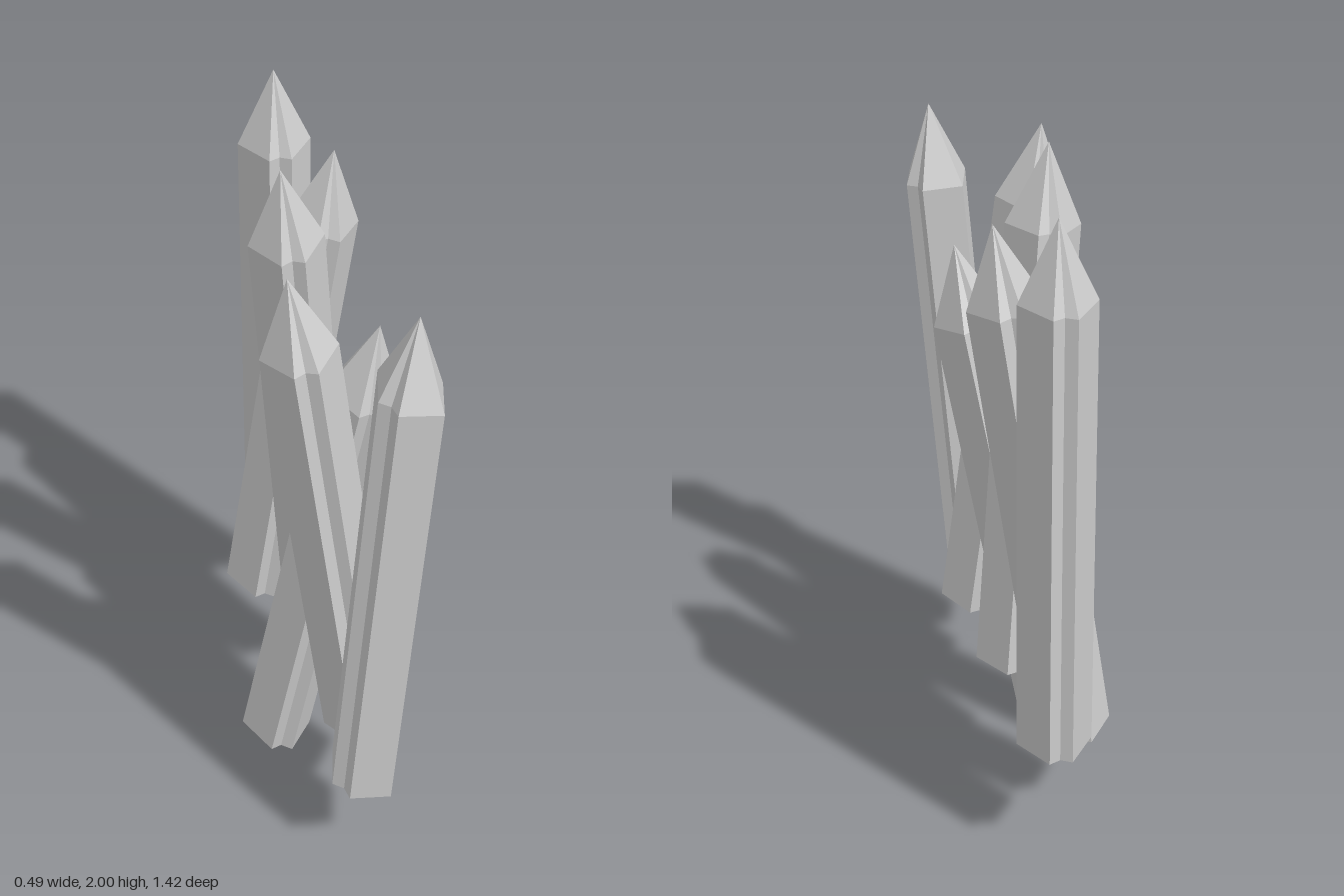
import * as THREE from 'three';

const LENGTH = 1.617, SHAFT = 1.38;
const STRETCH = [0.924, 1.143]; // x and z stretch of the cross-section

// Hexagonal outline with a groove in two opposite sides, turned by yaw
function outline(yaw) {
  const half = [[0.119, 0], [0.036, 0.103], [0, 0.088], [-0.036, 0.103]];
  const c = Math.cos(yaw), s = Math.sin(yaw);
  return [...half, ...half.map(([x, z]) => [-x, -z])]
    .map(([x, z]) => [(x * c - z * s) * STRETCH[0], (x * s + z * c) * STRETCH[1]]);
}

// Flat bottom, straight grooved shaft and pointed tip
function stakeGeometry(yaw) {
  const ring = outline(yaw), pos = [];
  const at = (i, y) => { const [x, z] = ring[i % ring.length]; return [x, y, z]; };
  const apex = [0, LENGTH, 0];
  for (let i = 0; i < ring.length; i++) {
    const b0 = at(i, 0), b1 = at(i + 1, 0), t0 = at(i, SHAFT), t1 = at(i + 1, SHAFT);
    pos.push(...b0, ...t0, ...b1, ...b1, ...t0, ...t1);
    pos.push(...t0, ...apex, ...t1);
    pos.push(0, 0, 0, ...b0, ...b1);
  }
  const geo = new THREE.BufferGeometry();
  geo.setAttribute('position', new THREE.Float32BufferAttribute(pos, 3));
  geo.computeVertexNormals();
  return geo;
}

export function createModel() {
  const model = new THREE.Group();
  model.name = 'stakeFence';
  const material = new THREE.MeshStandardMaterial({ color: 0xcccccc, flatShading: true });

  // Leaning stakes from back to front: base centre, tip, yaw
  const stakes = [
    [[-0.02, 0.385, -0.59], [-0.02, 2.0, -0.59], 0],
    [[-0.12, 0.28, -0.365], [0.11, 1.88, -0.31], 0],
    [[0.03, 0.39, -0.14], [-0.093, 2.0, -0.025], 0],
    [[-0.14, 0.025, 0.073], [0.146, 1.61, 0.202], 0],
    [[0.07, 0.305, 0.375], [-0.142, 1.91, 0.375], 0],
    [[0.032, 0.295, 0.605], [0.165, 1.905, 0.605], 0.91],
  ];
  const up = new THREE.Vector3(0, 1, 0);
  stakes.forEach(([base, tip, yaw], i) => {
    const stake = new THREE.Mesh(stakeGeometry(yaw), material);
    stake.name = `stake${i + 1}`;
    stake.position.set(...base);
    const axis = new THREE.Vector3(...tip).sub(stake.position).normalize();
    stake.quaternion.setFromUnitVectors(up, axis);
    model.add(stake);
  });
  return model;
}
